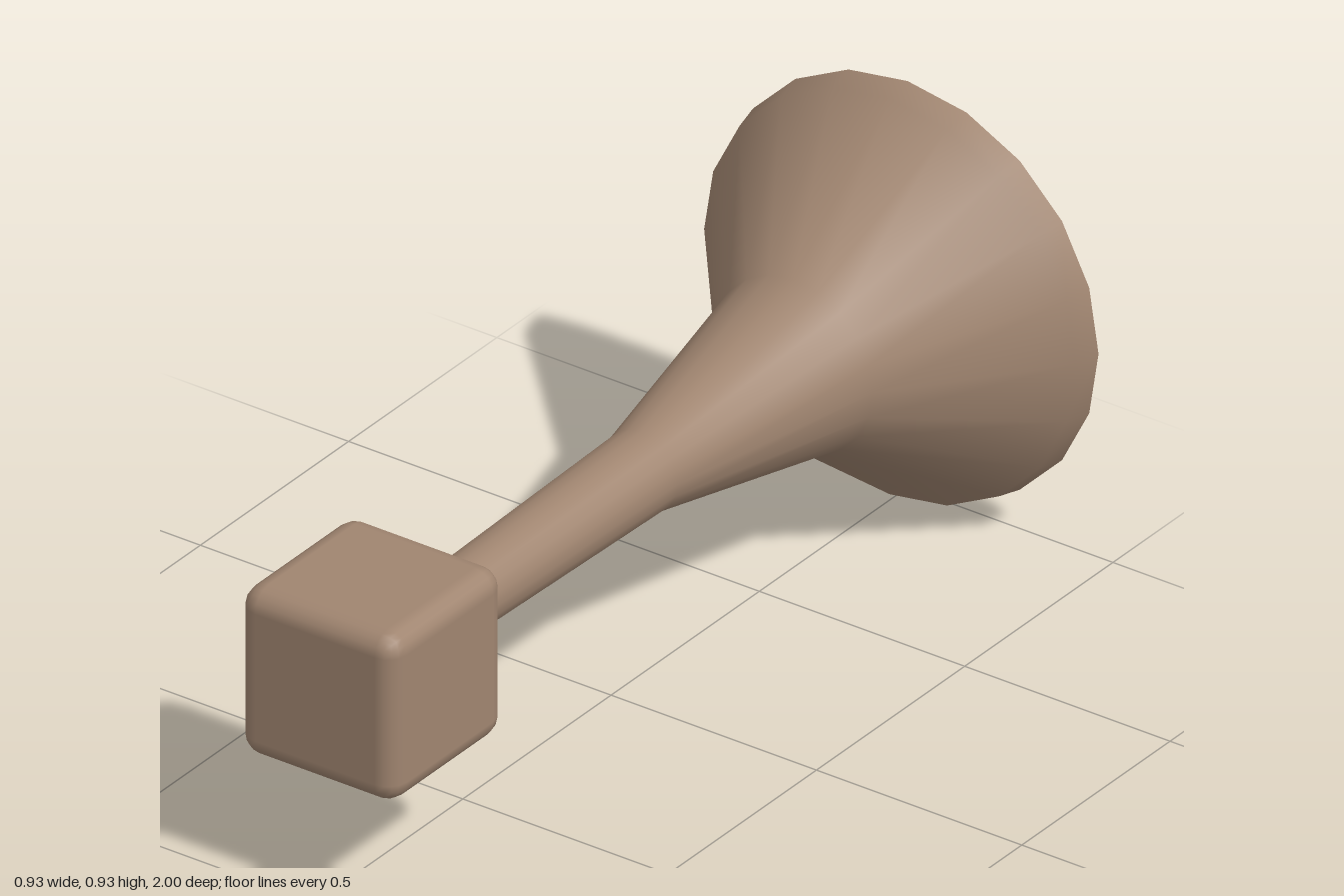
import * as THREE from 'three';
import { RoundedBoxGeometry } from 'three/addons/geometries/RoundedBoxGeometry.js';

const CENTER_Y = 0.465;
const SIDES = 20;

export function createModel() {
  const group = new THREE.Group();
  group.name = 'horn';

  const clay = new THREE.MeshStandardMaterial({ color: 0xa08570 });
  clay.name = 'warm brown';

  const add = (name, geometry, z = 0) => {
    const mesh = new THREE.Mesh(geometry, clay);
    mesh.name = name;
    mesh.position.set(0, CENTER_Y, z);
    group.add(mesh);
  };

  // Turned surface along z from [radius, z] pairs, listed from front to back for outward faces
  const turned = (profile) =>
    new THREE.LatheGeometry(profile.map(([r, z]) => new THREE.Vector2(r, -z)), SIDES)
      .rotateX(-Math.PI / 2);

  // Rounded block at the front end
  add('mouthBlock', new RoundedBoxGeometry(0.384, 0.384, 0.384, 2, 0.047), 0.808);

  // Thin stem flaring into the bell
  add('stemAndBell', turned([
    [0.075, 0.65], [0.09, -0.1], [0.193, -0.615], [0.452, -0.94], [0.465, -1],
  ]));

  // Flat ring at the open end
  add('bellRim', turned([[0.465, -1], [0.387, -1]]));

  // Hollow inside of the bell, closing at the throat
  add('bellInside', turned([[0.387, -1], [0.12, -0.62], [0.03, -0.1], [0, -0.1]]));

  return group;
}
